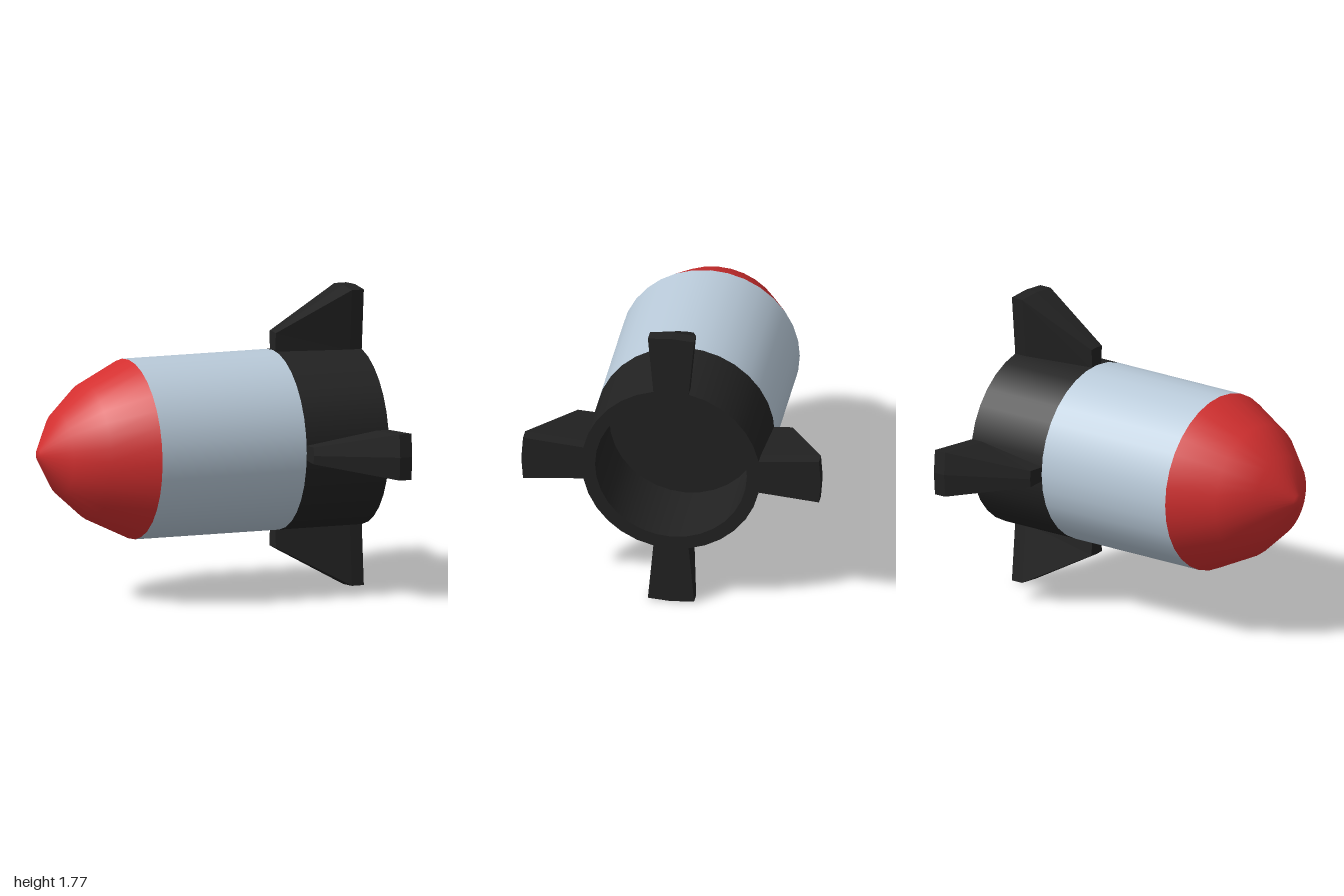
import * as THREE from 'three';
import { mergeGeometries } from 'three/addons/utils/BufferGeometryUtils.js';

const AXIS_Y = 0.887;
const SIDES = 32;
const R = 0.53;

// Turns runs of [x, radius] points around the x axis; edges between runs stay sharp.
function turned(name, material, runs) {
  const parts = runs.map((run) =>
    new THREE.LatheGeometry(run.map(([x, r]) => new THREE.Vector2(r, -x)), SIDES));
  const geometry = mergeGeometries(parts).rotateZ(Math.PI / 2);
  const mesh = new THREE.Mesh(geometry, material);
  mesh.name = name;
  return mesh;
}

// Upright fin lofted through three cross-sections along x.
function finGeometry() {
  const stations = [ // x, outer radius, outer half width, base half width
    [0.48, 0.64, 0.05, 0.042],
    [0.925, 0.887, 0.137, 0.104],
    [1.0, 0.887, 0.137, 0.104],
  ].map(([x, r, w, b]) => {
    const shoulder = r - w * 0.075;
    return [[0.515, -b], [shoulder, -w], [r, 0], [shoulder, w], [0.515, b]]
      .map(([y, z]) => [x, y, z]);
  });
  const positions = [];
  const tri = (...corners) => corners.forEach((c) => positions.push(...c));
  for (let s = 0; s < 2; s++) {
    const p = stations[s], q = stations[s + 1];
    for (let i = 0; i < 4; i++) {
      tri(p[i], p[i + 1], q[i + 1]);
      tri(p[i], q[i + 1], q[i]);
    }
  }
  // Front and rear ends
  const front = stations[0], rear = stations[2];
  for (let i = 1; i < 4; i++) {
    tri(front[0], front[i + 1], front[i]);
    tri(rear[0], rear[i], rear[i + 1]);
  }
  const geometry = new THREE.BufferGeometry();
  geometry.setAttribute('position', new THREE.Float32BufferAttribute(positions, 3));
  geometry.computeVertexNormals();
  return geometry;
}

export function createModel() {
  const red = new THREE.MeshStandardMaterial({ color: 0xd32f2f });
  red.name = 'red';
  const paleBlue = new THREE.MeshStandardMaterial({ color: 0xb9cad9 });
  paleBlue.name = 'paleBlue';
  const black = new THREE.MeshStandardMaterial({ color: 0x222222 });
  black.name = 'black';

  const model = new THREE.Group();
  model.name = 'rocket';
  const rocket = new THREE.Group();
  rocket.name = 'rocketBody';
  rocket.position.y = AXIS_Y;
  model.add(rocket);

  // Blunt nose with a tiny flat tip
  rocket.add(turned('noseCone', red, [
    [[-0.43, R], [-0.70, 0.40], [-0.875, 0.245], [-1, 0.037], [-1, 0]],
  ]));
  rocket.add(turned('fuselage', paleBlue, [[[0.48, R], [-0.43, R]]]));

  // Hollow tail: cavity floor, cavity wall, rim, outer wall
  rocket.add(turned('tailRing', black, [
    [[0.48, 0], [0.48, 0.45]],
    [[0.48, 0.45], [1, 0.45]],
    [[1, 0.45], [1, R]],
    [[1, R], [0.48, R]],
  ]));

  // Four fins around the tail
  const fin = finGeometry();
  for (let i = 0; i < 4; i++) {
    const mesh = new THREE.Mesh(fin, black);
    mesh.name = 'fin' + (i + 1);
    mesh.rotation.x = i * Math.PI / 2;
    rocket.add(mesh);
  }
  return model;
}
